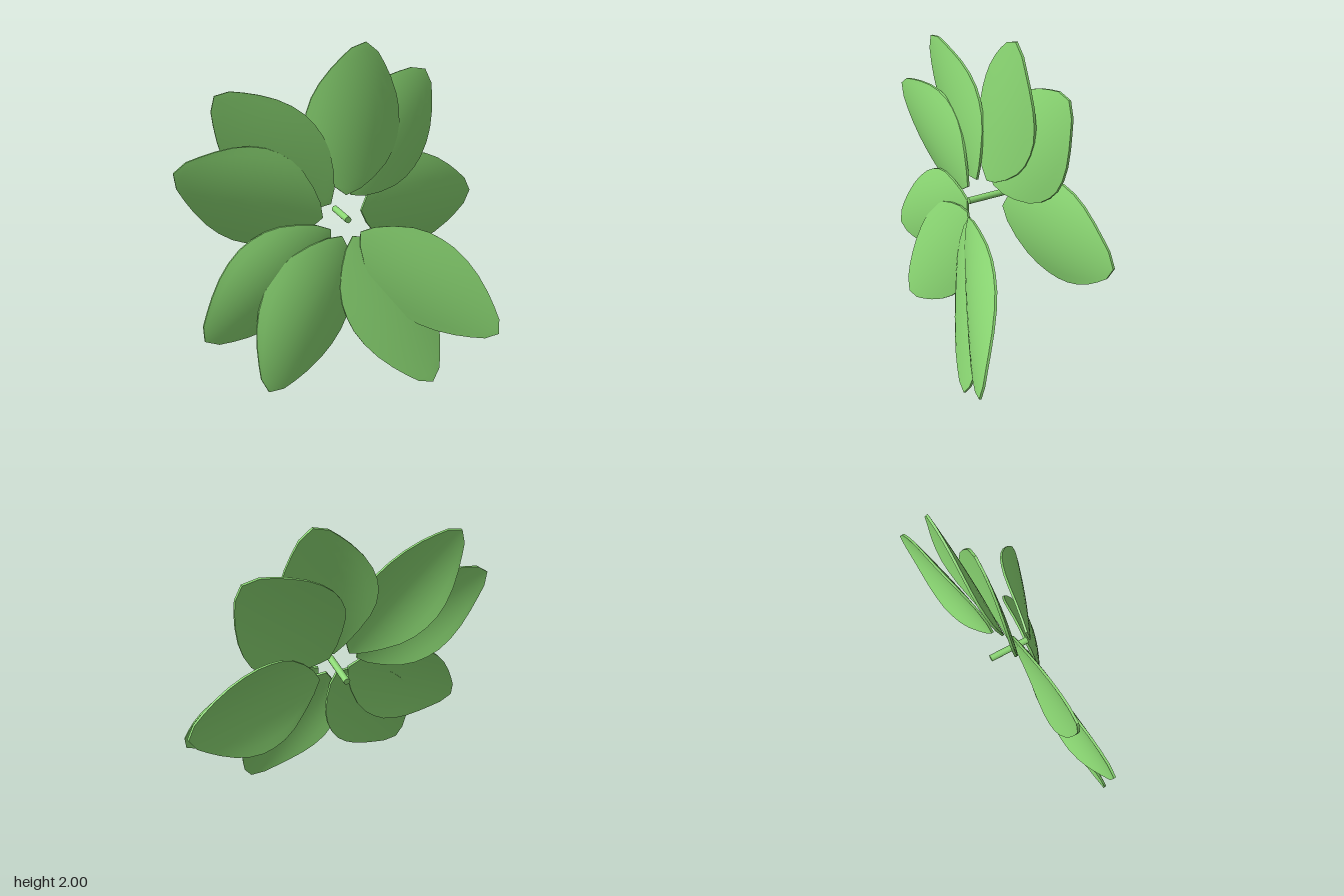
import * as THREE from 'three';
import { toCreasedNormals } from 'three/addons/utils/BufferGeometryUtils.js';

const green = new THREE.MeshStandardMaterial({ color: 0x8bd873 });

// Leaf outline: [position along the leaf, fraction of half width]
const OUTLINE = [[0, 0], [0.05, 0.28], [0.13, 0.55], [0.23, 0.8], [0.32, 0.93], [0.41, 0.99],
  [0.5, 1], [0.6, 0.94], [0.7, 0.82], [0.8, 0.64], [0.88, 0.46], [0.95, 0.28], [1, 0]];

// Leaves in spiral order: base x, y, z, tip x, y, z, half width
const LEAVES = [
  [0.15, 1.0, -0.155, 0.975, 1.0, -0.355, 0.3],
  [0.08, 1.11, -0.13, 0.6, 1.815, -0.27, 0.295],
  [0.04, 1.12, -0.11, 0.19, 2.0, -0.19, 0.295],
  [-0.06, 1.08, -0.095, -0.72, 1.75, -0.12, 0.275],
  [-0.12, 1.01, -0.068, -0.98, 1.36, -0.025, 0.28],
  [-0.08, 0.94, -0.045, -0.87, 0.39, 0.065, 0.265],
  [-0.02, 0.9, -0.015, -0.53, 0.06, 0.162, 0.275],
  [0.04, 0.9, 0.005, 0.47, 0.0, 0.255, 0.265],
  [0.08, 0.93, 0.03, 0.85, 0.3, 0.352, 0.255],
];

// Thin domed leaf, swept as closed cross-sections from base to tip
function leafGeometry(base, tip, halfWidth) {
  const COLS = 10, HALF_THICK = 0.007;
  const along = tip.clone().sub(base).normalize();
  const side = new THREE.Vector3(-along.y, along.x, 0).normalize();
  const face = along.clone().cross(side);
  const positions = [], index = [];
  const ring = 2 * (COLS + 1);

  for (const [t, w] of OUTLINE) {
    for (let j = 0; j < ring; j++) {
      const front = j <= COLS;
      const u = front ? 1 - (2 * j) / COLS : -1 + (2 * (j - COLS - 1)) / COLS;
      const v = u * w;
      const lift = 0.012 * Math.sin(Math.PI * t) - 0.055 * v * v + (front ? HALF_THICK : -HALF_THICK);
      const p = base.clone().lerp(tip, t)
        .addScaledVector(side, v * halfWidth)
        .addScaledVector(face, lift);
      positions.push(p.x, p.y, p.z);
    }
  }
  for (let i = 0; i < OUTLINE.length - 1; i++) {
    for (let j = 0; j < ring; j++) {
      const a = i * ring + j, b = i * ring + ((j + 1) % ring);
      index.push(a, b, a + ring, b, b + ring, a + ring);
    }
  }
  const geometry = new THREE.BufferGeometry();
  geometry.setAttribute('position', new THREE.Float32BufferAttribute(positions, 3));
  geometry.setIndex(index);
  return toCreasedNormals(geometry, 0.6);
}

export function createModel() {
  const model = new THREE.Group();
  model.name = 'leafWhorl';

  // Short central stem running front to back
  const stem = new THREE.Mesh(new THREE.CylinderGeometry(0.02, 0.02, 0.24, 12), green);
  stem.name = 'stem';
  stem.rotation.x = Math.PI / 2;
  stem.position.set(0.015, 1, -0.12);
  model.add(stem);

  // Each leaf sits further forward and leans further forward than the last
  LEAVES.forEach(([bx, by, bz, tx, ty, tz, halfWidth], k) => {
    const base = new THREE.Vector3(bx, by, bz);
    const tip = new THREE.Vector3(tx, ty, tz);
    const leaf = new THREE.Mesh(leafGeometry(base, tip, halfWidth), green);
    leaf.name = `leaf${k + 1}`;
    model.add(leaf);
  });

  return model;
}
